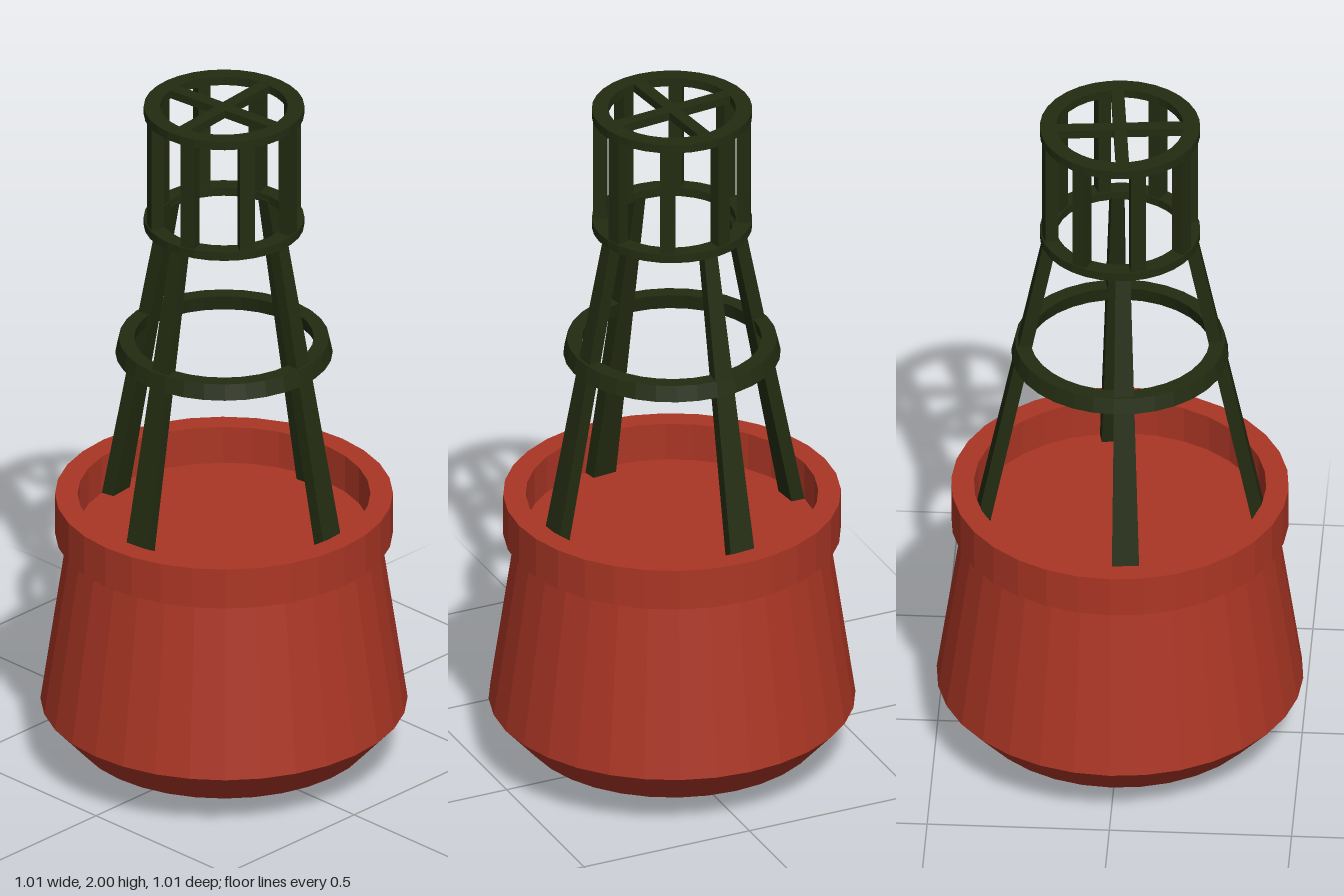
import * as THREE from 'three';

const SIDES = 32;
const STEP = (Math.PI * 2) / SIDES; // one facet of the round parts

export function createModel() {
  const red = new THREE.MeshStandardMaterial({ color: 0xab3625 });
  red.name = 'red hull paint';
  red.flatShading = true;
  const green = new THREE.MeshStandardMaterial({ color: 0x232c11 });
  green.name = 'dark green frame';
  green.flatShading = true;

  const buoy = new THREE.Group();
  buoy.name = 'buoy';

  const add = (name, geometry, material, parent = buoy) => {
    const mesh = new THREE.Mesh(geometry, material);
    mesh.name = name;
    parent.add(mesh);
    return mesh;
  };

  const lathe = (points) =>
    new THREE.LatheGeometry(points.map(([r, y]) => new THREE.Vector2(r, y)), SIDES);

  // Square-section ring; the outer and inner radii may differ at bottom and top
  const ring = (y0, y1, out0, out1, in0, in1) =>
    lathe([[out0, y0], [out1, y1], [in1, y1], [in0, y0], [out0, y0]]);

  // Bar one facet wide, following a cone from radius r0 at y0 to r1 at y1
  const facetBar = (start, y0, y1, r0, r1, thick) => {
    const g = new THREE.BoxGeometry(1, 1, 1);
    const p = g.attributes.position;
    for (let i = 0; i < p.count; i++) {
      const angle = start + (p.getX(i) + 0.5) * STEP;
      const t = p.getY(i) + 0.5;
      const r = r0 + (r1 - r0) * t + (p.getZ(i) - 0.5) * thick;
      p.setXYZ(i, Math.sin(angle) * r, y0 + (y1 - y0) * t, Math.cos(angle) * r);
    }
    g.computeVertexNormals();
    return g;
  };

  // Hull with chamfered base, overhanging rim and recessed deck
  add('hull', lathe([
    [0, 0], [0.2, 0], [0.41, 0.08], [0.503, 0.183], [0.429, 0.69],
    [0.463, 0.69], [0.463, 0.81], [0.401, 0.81], [0.401, 0.7], [0, 0.7],
  ]), red);

  // Four leaning legs
  const legs = new THREE.Group();
  legs.name = 'legs';
  buoy.add(legs);
  for (let i = 0; i < 4; i++) {
    add('leg', facetBar(i * Math.PI / 2, 0.7, 1.645, 0.4, 0.208, 0.038), green, legs);
  }

  // Brace ring and the two cage rings
  add('braceRing', ring(1.245, 1.29, 0.298, 0.288, 0.256, 0.246), green);
  add('lowerCageRing', ring(1.635, 1.66, 0.22, 0.22, 0.175, 0.175), green);
  add('upperCageRing', ring(1.975, 2, 0.22, 0.22, 0.175, 0.175), green);

  // Eight upright cage posts
  const posts = new THREE.Group();
  posts.name = 'cagePosts';
  buoy.add(posts);
  for (let i = 0; i < 8; i++) {
    add('cagePost', facetBar(STEP + i * Math.PI / 4, 1.65, 1.985, 0.216, 0.216, 0.037), green, posts);
  }

  // Cross bars inside the upper ring
  for (let i = 0; i < 2; i++) {
    const bar = add('crossBar', new THREE.BoxGeometry(0.036, 0.024, 0.38), green);
    bar.position.y = 1.987;
    bar.rotation.y = STEP / 2 + i * Math.PI / 2;
  }

  return buoy;
}
